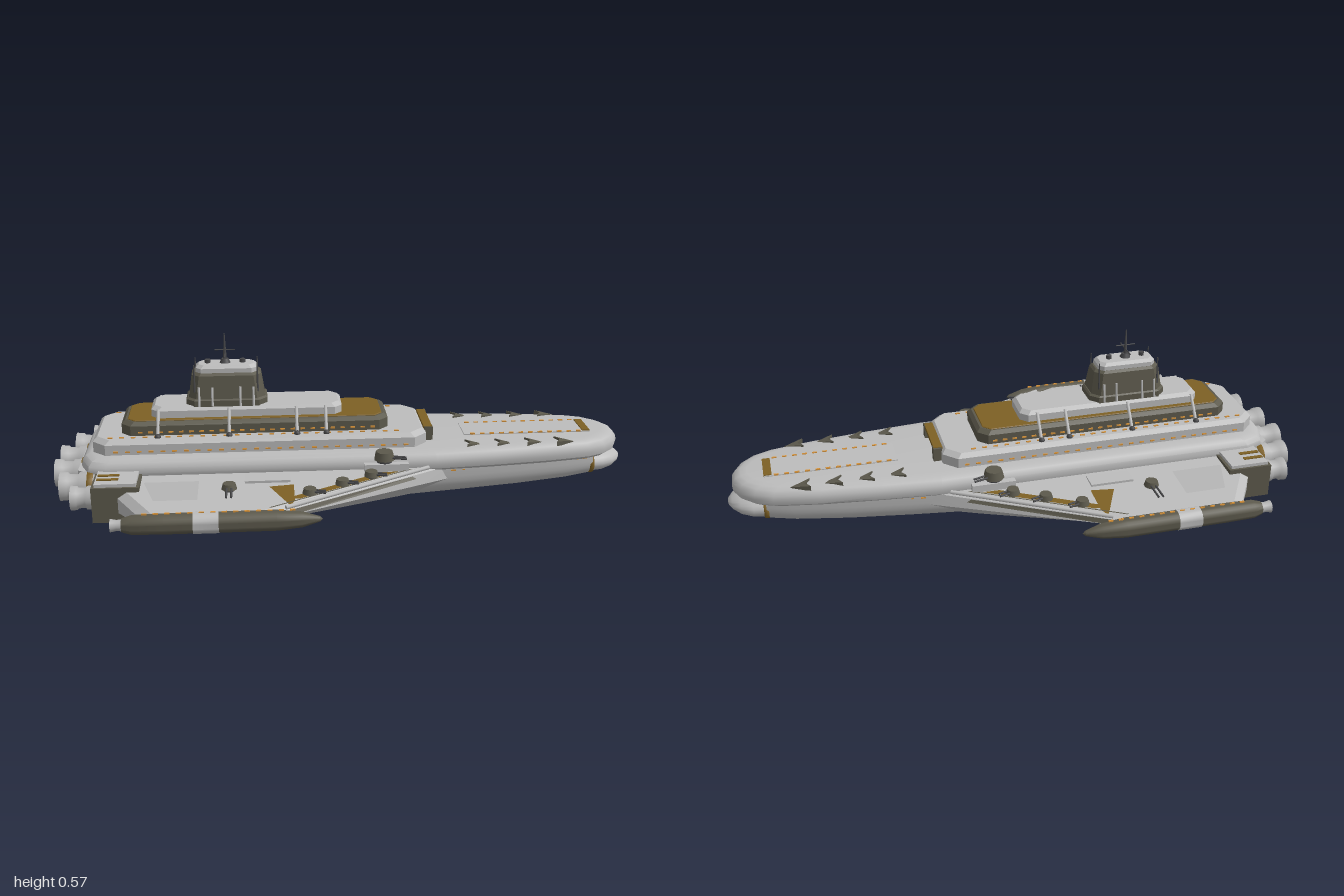
import * as THREE from 'three';
import { mergeGeometries, toCreasedNormals } from 'three/addons/utils/BufferGeometryUtils.js';

const mat = (name, color, side = THREE.FrontSide) => {
  const m = new THREE.MeshStandardMaterial({ color, side });
  m.name = name;
  return m;
};

export function createModel() {
  const ship = new THREE.Group();
  ship.name = 'starship';
  const light = mat('hull grey', 0xbcbcbc);
  const bell = mat('nozzle grey', 0xb4b4b4, THREE.DoubleSide);
  const olive = mat('dark olive', 0x5c594c);
  const gold = mat('bronze', 0x7d6024, THREE.DoubleSide);
  const steel = mat('dark steel', 0x48484a);
  const amber = mat('amber light', 0xd9953c);
  const olivePaint = mat('dark olive paint', 0x5c594c, THREE.DoubleSide);

  const add = (name, geo, m, x = 0, y = 0, z = 0) => {
    const mesh = new THREE.Mesh(geo, m);
    mesh.name = name;
    mesh.position.set(x, y, z);
    ship.add(mesh);
    return mesh;
  };
  const box = (name, m, x0, x1, y0, y1, z0, z1) =>
    add(name, new THREE.BoxGeometry(x1 - x0, y1 - y0, Math.abs(z1 - z0)), m, (x0 + x1) / 2, (y0 + y1) / 2, (z0 + z1) / 2);

  // Closed skin through equal-sized rings, capped by fans; wound outward by its signed volume
  const loft = (rings, crease = 0.5) => {
    const tris = [], n = rings[0].length;
    for (let i = 0; i + 1 < rings.length; i++) for (let j = 0; j < n; j++) {
      const k = (j + 1) % n, a = rings[i][j], b = rings[i][k], c = rings[i + 1][k], d = rings[i + 1][j];
      tris.push([a, b, c], [a, c, d]);
    }
    const mid = r => [0, 1, 2].map(q => r.reduce((s, p) => s + p[q], 0) / n);
    const first = rings[0], last = rings[rings.length - 1], c0 = mid(first), c1 = mid(last);
    for (let j = 0; j < n; j++) {
      const k = (j + 1) % n;
      tris.push([first[k], first[j], c0], [last[j], last[k], c1]);
    }
    const v = p => new THREE.Vector3(...p);
    const volume = tris.reduce((s, [a, b, c]) => s + v(a).dot(v(b).cross(v(c))), 0);
    if (volume < 0) tris.forEach(t => t.reverse());
    const g = new THREE.BufferGeometry();
    g.setAttribute('position', new THREE.Float32BufferAttribute(tris.flat(2), 3));
    return toCreasedNormals(g, crease);
  };
  const panel = (name, m, a, b, c, d) => {
    const g = new THREE.BufferGeometry();
    g.setAttribute('position', new THREE.Float32BufferAttribute([a, b, c, a, c, d].flat(), 3));
    g.computeVertexNormals();
    return add(name, g, m);
  };
  const rod = (name, m, a, b, r0, r1 = r0, sides = 8) => {
    const p = new THREE.Vector3(...a), q = new THREE.Vector3(...b), d = q.clone().sub(p);
    const mesh = add(name, new THREE.CylinderGeometry(r1, r0, d.length(), sides), m);
    mesh.position.copy(p).lerp(q, 0.5);
    mesh.quaternion.setFromUnitVectors(new THREE.Vector3(0, 1, 0), d.normalize());
    return mesh;
  };
  // Turned body along +x, profile given as [x, radius]
  const turned = (name, m, profile, x, y, z, seg = 24) => {
    const g = new THREE.LatheGeometry(profile.map(([px, r]) => new THREE.Vector2(r, px)), seg);
    g.rotateZ(-Math.PI / 2);
    return add(name, m.side === THREE.DoubleSide ? g : toCreasedNormals(g, 0.6), m, x, y, z);
  };
  const lamps = [];
  const lampRow = (x0, x1, n, y, z0, z1 = z0) => {
    for (let i = 0; i < n; i++) {
      const t = i / (n - 1);
      lamps.push(new THREE.BoxGeometry(0.016, 0.005, 0.005).translate(x0 + (x1 - x0) * t, y, z0 + (z1 - z0) * t));
    }
  };

  // Lower hull: rounded keel sections, [x, half width, top, bottom]
  const keel = [[-0.91, 0.16, 0.15, 0.035], [-0.86, 0.2, 0.15, 0.018], [-0.6, 0.215, 0.15, 0.004], [-0.2, 0.22, 0.15, 0],
    [0.2, 0.216, 0.15, 0.008], [0.4, 0.196, 0.145, 0.018], [0.6, 0.17, 0.145, 0.026], [0.78, 0.138, 0.143, 0.036], [0.875, 0.11, 0.14, 0.045]];
  add('lowerHull', loft(keel.map(([x, w, top, bot]) => Array.from({ length: 25 }, (_, i) => {
    const a = Math.PI * i / 24, c = Math.cos(a);
    return [x, top - (top - bot) * Math.sin(a) ** 0.55, w * Math.sign(c) * Math.abs(c) ** 0.6];
  })), 0.7), light);

  // Upper hull: one plan outline stacked with rounded edges
  const half = [[-0.9, 0.13], [-0.87, 0.2], [-0.81, 0.224], [0.3, 0.224], [0.5, 0.205], [0.7, 0.18], [0.85, 0.152], [0.91, 0.125], [0.955, 0.08], [0.978, 0.03]];
  const plan = [...half, ...half.map(([x, z]) => [x, -z]).reverse()];
  add('upperHull', loft([[0.13, 0.02], [0.142, 0.004], [0.158, 0], [0.175, 0.003], [0.19, 0.014], [0.198, 0.032], [0.201, 0.055]].map(([y, d]) =>
    plan.map(([x, z]) => [0.04 + (x - 0.04) * (1 - d / 0.95), y, z * (1 - d / 0.224)])), 0.6), light);

  // Ram bow with its bronze collar
  turned('bowCone', light, [[0, 0.105], [0.045, 0.098], [0.085, 0.076], [0.112, 0.045], [0.125, 0.02], [0.128, 0]], 0.872, 0.091, 0, 28).scale.y = 0.46;
  turned('bowCollar', gold, [[-0.008, 0.1], [-0.006, 0.112], [0.008, 0.111], [0.01, 0.1]], 0.874, 0.091, 0, 28).scale.y = 0.48;

  // Superstructure tiers: chamfered blocks with bevelled tops
  const tier = (name, m, x0, x1, w, y0, y1, cut, bevel, lean = 0) => {
    const ring = (y, d) => {
      const a = x0 + d, b = x1 - d, q = w - d;
      const h = [[a, q - cut], [a + cut, q], [b - cut, q], [b, q - cut]];
      return [...h, ...h.map(([x, z]) => [x, -z]).reverse()].map(([x, z]) => [x, y, z]);
    };
    add(name, loft([ring(y0, 0), ring(y1 - bevel, lean), ring(y1, lean + bevel)], 0.2), m);
  };
  tier('mainDeck', light, -0.86, 0.275, 0.163, 0.19, 0.25, 0.045, 0.014);
  tier('secondDeck', olive, -0.765, 0.145, 0.113, 0.248, 0.296, 0.032, 0.012);
  tier('secondDeckRoof', gold, -0.745, 0.125, 0.096, 0.29, 0.299, 0.026, 0.002);
  tier('thirdDeck', light, -0.665, -0.012, 0.079, 0.295, 0.336, 0.025, 0.012);
  tier('towerBase', olive, -0.545, -0.268, 0.07, 0.33, 0.36, 0.028, 0.006);
  tier('bridgeTower', olive, -0.537, -0.276, 0.066, 0.355, 0.445, 0.026, 0.008, 0.012);
  tier('bridgeRoof', light, -0.51, -0.302, 0.045, 0.44, 0.47, 0.018, 0.01);

  // Forward gate at the end of the main deck
  box('gateRoof', gold, 0.27, 0.3, 0.236, 0.25, -0.09, 0.09);
  for (const s of [1, -1]) box('gatePost', olive, 0.272, 0.302, 0.195, 0.248, s * 0.07, s * 0.098);

  // Mast, sensor arms and roof details
  rod('mast', steel, [-0.41, 0.465, 0], [-0.41, 0.573, 0], 0.007, 0.002);
  rod('mastArm', steel, [-0.41, 0.5, -0.05], [-0.41, 0.5, 0.05], 0.0025);
  rod('mastCrossArm', steel, [-0.445, 0.515, 0], [-0.375, 0.515, 0], 0.002);
  rod('mastFoot', steel, [-0.41, 0.468, 0], [-0.41, 0.484, 0], 0.02, 0.012, 12);
  for (const x of [-0.47, -0.35]) rod('roofSensor', steel, [x, 0.468, 0], [x, 0.482, 0], 0.01);

  // Prow flight deck
  box('flightDeck', light, 0.42, 0.87, 0.199, 0.204, -0.06, 0.06);
  box('flightDeckBar', gold, 0.845, 0.872, 0.2, 0.207, -0.056, 0.056);

  const edgeX = z => 0.3 - (z - 0.22) * 2;
  for (const s of [1, -1]) {
    // Tower ribs, whip aerials and deck braces
    for (const x of [-0.5, -0.455, -0.36, -0.315]) rod('towerRib', light, [x, 0.335, s * 0.074], [x, 0.4, s * 0.062], 0.004);
    for (const x of [-0.515, -0.3]) rod('towerAerial', steel, [x, 0.38, s * 0.053], [x, 0.475, s * 0.046], 0.004, 0.002);
    for (const x of [-0.64, -0.4, -0.17, -0.07]) {
      rod('deckBrace', light, [x, 0.25, s * 0.135], [x, 0.328, s * 0.073], 0.006);
      add('braceFoot', new THREE.SphereGeometry(0.011, 10, 6), steel, x, 0.252, s * 0.135);
    }

    // Wing lofted from root to tip
    const wing = [[0.14, -0.82, 0.152, 0.04], [0.22, -0.8, 0.148, 0.045], [0.33, -0.765, 0.14, 0.057], [0.485, -0.67, 0.128, 0.075]];
    add('wing', loft(wing.map(([z, back, top, bot]) => {
      const e = edgeX(z), mid = (top + bot) / 2;
      return [[back, bot + 0.01], [back, top - 0.02], [back + 0.03, top], [e - 0.06, top], [e - 0.015, top - 0.012], [e, mid], [e - 0.13, bot]].map(([x, y]) => [x, y, s * z]);
    }), 0.25), light);
    const topY = z => 0.148 - (z - 0.22) * 0.0755 + 0.002;
    const strip = (name, m, z0, z1, in0, in1, lift = 0) => panel(name, m, [edgeX(z0) - in0, topY(z0) + lift, s * z0], [edgeX(z1) - in0, topY(z1) + lift, s * z1],
      [edgeX(z1) - in1, topY(z1) + lift, s * z1], [edgeX(z0) - in1, topY(z0) + lift, s * z0]);
    strip('gunTrench', gold, 0.25, 0.42, 0.075, 0.13);
    panel('trenchEnd', gold, [-0.19, topY(0.32), s * 0.32], [-0.27, topY(0.33), s * 0.33], [-0.205, topY(0.465), s * 0.465], [-0.19, topY(0.43), s * 0.43]);
    strip('trenchLine', olivePaint, 0.235, 0.475, 0.055, 0.066, 0.001);
    panel('leadingEdgePaint', olivePaint, [edgeX(0.26) - 0.01, 0.133, s * 0.262], [edgeX(0.48) - 0.012, 0.117, s * 0.482],
      [edgeX(0.48) + 0.003, 0.102, s * 0.482], [edgeX(0.26) + 0.004, 0.124, s * 0.262]);
    rod('trenchRail', light, [0.27, 0.15, s * 0.225], [-0.22, 0.128, s * 0.47], 0.007);

    // Wing-top access plates
    panel('wingHatch', light, [-0.68, topY(0.28) + 0.002, s * 0.28], [-0.5, topY(0.28) + 0.002, s * 0.28], [-0.5, topY(0.41) + 0.002, s * 0.41], [-0.64, topY(0.41) + 0.002, s * 0.41]).material = bell;
    box('wingLocker', light, -0.35, -0.2, 0.135, 0.15, s * 0.24, s * 0.3);

    // Turrets along the leading edge and one facing outboard
    for (const [x, y, z, r] of [[-0.14, 0.132, 0.385, 0.025], [-0.03, 0.137, 0.33, 0.025], [0.07, 0.142, 0.28, 0.025], [0.12, 0.175, 0.215, 0.036], [-0.4, 0.137, 0.34, 0.026]]) {
      const side = x < -0.3;
      rod('turretBase', steel, [x, y - 0.012, s * z], [x, y + 0.008, s * z], r * 0.75, r * 0.75, 12);
      rod('turret', olive, [x, y + 0.006, s * z], [x, y + r * 0.95, s * z], r, r * 0.8, 10);
      for (const o of [-0.008, 0.008]) {
        const from = [x + (side ? o : 0), y + 0.014, s * (z + (side ? 0 : o))];
        const to = side ? [x + o, y + 0.014, s * (z + 0.09)] : [x + r * 2, y + 0.016, s * (z + o + r * 0.7)];
        rod('gunBarrel', steel, from, to, 0.0035);
      }
    }
    box('turretSponson', light, 0.05, 0.2, 0.13, 0.172, s * 0.18, s * 0.245);

    // Wingtip pod with pale band and small thruster
    const z = s * 0.502;
    turned('wingtipPod', olive, [[-0.73, 0], [-0.73, 0.022], [-0.7, 0.031], [-0.6, 0.033], [-0.25, 0.033], [-0.17, 0.025], [-0.115, 0.009], [-0.105, 0]], 0, 0.1, z);
    turned('podBand', light, [[-0.51, 0.032], [-0.51, 0.0345], [-0.43, 0.0345], [-0.43, 0.032]], 0, 0.1, z);
    turned('podThruster', bell, [[-0.765, 0.021], [-0.745, 0.017], [-0.72, 0.02]], 0, 0.1, z, 16);
    lampRow(-0.66, -0.2, 14, 0.134, z);

    // Outer engine housing
    box('engineHousing', olive, -0.845, -0.69, 0.035, 0.155, s * 0.2, s * 0.338);
    box('engineHousingRoof', light, -0.835, -0.7, 0.15, 0.166, s * 0.2, s * 0.33);
    for (const w of [0.25, 0.285]) box('housingStripe', gold, -0.83, -0.76, 0.164, 0.169, s * w, s * (w + 0.014));

    // Main engine bells
    for (const [ez, base, r] of [[0.067, -0.9, 0.048], [0.19, -0.865, 0.049], [0.292, -0.835, 0.041]]) {
      const len = r > 0.045 ? 0.1 : 0.08;
      turned('engineBell', bell, [[-len, r], [-len * 0.75, r * 0.96], [-len * 0.7, r * 0.84], [-len * 0.4, r * 0.8], [-len * 0.35, r * 0.95], [0.02, r]], base, 0.106, s * ez);
      turned('engineCollar', gold, [[-0.008, r * 0.9], [-0.008, r * 1.08], [0.012, r * 1.08], [0.012, r * 0.9]], base, 0.106, s * ez);
      turned('engineCore', steel, [[-len * 0.4, 0], [-len * 0.4, r * 0.78], [0, r * 0.78]], base, 0.106, s * ez);
    }

    // Wedge deflectors on the prow
    for (const x of [0.41, 0.515, 0.62, 0.725]) {
      const cz = s * (0.147 - (x - 0.41) * 0.02);
      const base = [[x, cz - 0.026], [x + 0.065, cz], [x, cz + 0.026], [x + 0.016, cz]];
      add('prowWedge', loft([base.map(([a, b]) => [a, 0.19, b]), base.map(([a, b], i) => [a, i === 1 ? 0.198 : 0.208, b])], 0.1), olive);
    }

    // Rows of lit windows
    lampRow(-0.8, 0.17, 26, 0.251, s * 0.132);
    lampRow(-0.7, 0.09, 24, 0.262, s * 0.114);
    lampRow(-0.78, 0.2, 26, 0.212, s * 0.164);
    lampRow(0.36, 0.84, 16, 0.126, s * 0.199, s * 0.122);
    lampRow(0.45, 0.83, 12, 0.205, s * 0.058);
  }
  add('windowLights', mergeGeometries(lamps), amber);
  return ship;
}
